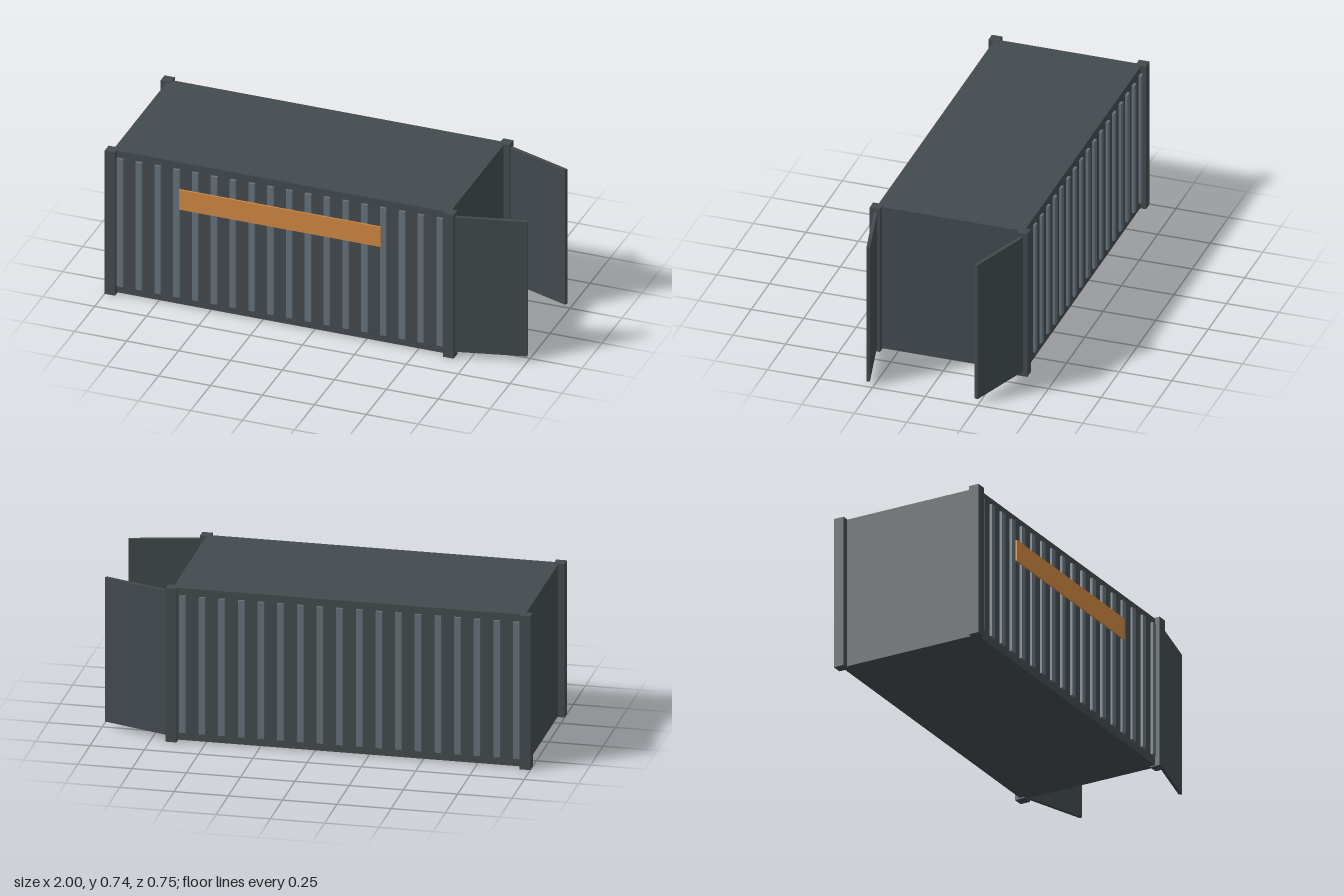
import * as THREE from 'three';

export function createModel() {
  const root = new THREE.Group();
  root.name = 'shippingContainer';

  const mat = (name, color) => {
    const m = new THREE.MeshStandardMaterial({ color });
    m.name = name;
    return m;
  };
  const steel = mat('darkSteel', 0x434a4e);
  const ribSteel = mat('lightSteel', 0x65717b);
  const orange = mat('orangePaint', 0xcf8841);

  // Box given by its minimum and maximum on each axis
  const box = (name, material, [x0, x1], [y0, y1], [z0, z1], parent = root) => {
    const mesh = new THREE.Mesh(new THREE.BoxGeometry(x1 - x0, y1 - y0, z1 - z0), material);
    mesh.position.set((x0 + x1) / 2, (y0 + y1) / 2, (z0 + z1) / 2);
    mesh.name = name;
    parent.add(mesh);
    return mesh;
  };

  // Closed hull
  box('body', steel, [-0.97, 0.652], [0.005, 0.732], [-0.35, 0.35]);

  // Corner posts, slightly proud of the hull
  for (const x of [-1, 0.63])
    for (const z of [-0.375, 0.325])
      box('cornerPost', steel, [x, x + 0.05], [0, 0.735], [z, z + 0.05]);

  // Vertical ribs along both long sides
  const ribCount = 18;
  for (const side of [-1, 1]) {
    const ribs = new THREE.Group();
    ribs.name = side > 0 ? 'frontRibs' : 'backRibs';
    root.add(ribs);
    for (let i = 0; i < ribCount; i++) {
      const x = -0.932 + i * 0.0905;
      const rib = box('rib', ribSteel, [x - 0.015, x + 0.015], [0.043, 0.697], [0.338, 0.362], ribs);
      rib.position.z *= side;
    }
  }

  // Painted stripe panel on the front side
  box('stripePanel', orange, [-0.645, 0.325], [0.5, 0.602], [0.362, 0.37]);

  // Open doors, hinged at the outer posts and swung to different angles
  for (const [name, side, angle] of [['frontDoor', 1, 0.232], ['backDoor', -1, 0.34]]) {
    const hinge = new THREE.Group();
    hinge.name = name;
    hinge.position.set(0.675, 0, side * 0.348);
    hinge.rotation.y = side * angle;
    root.add(hinge);
    box('doorPanel', steel, [0, 0.33], [0.025, 0.715], [-0.008, 0.008], hinge);
  }

  return root;
}
